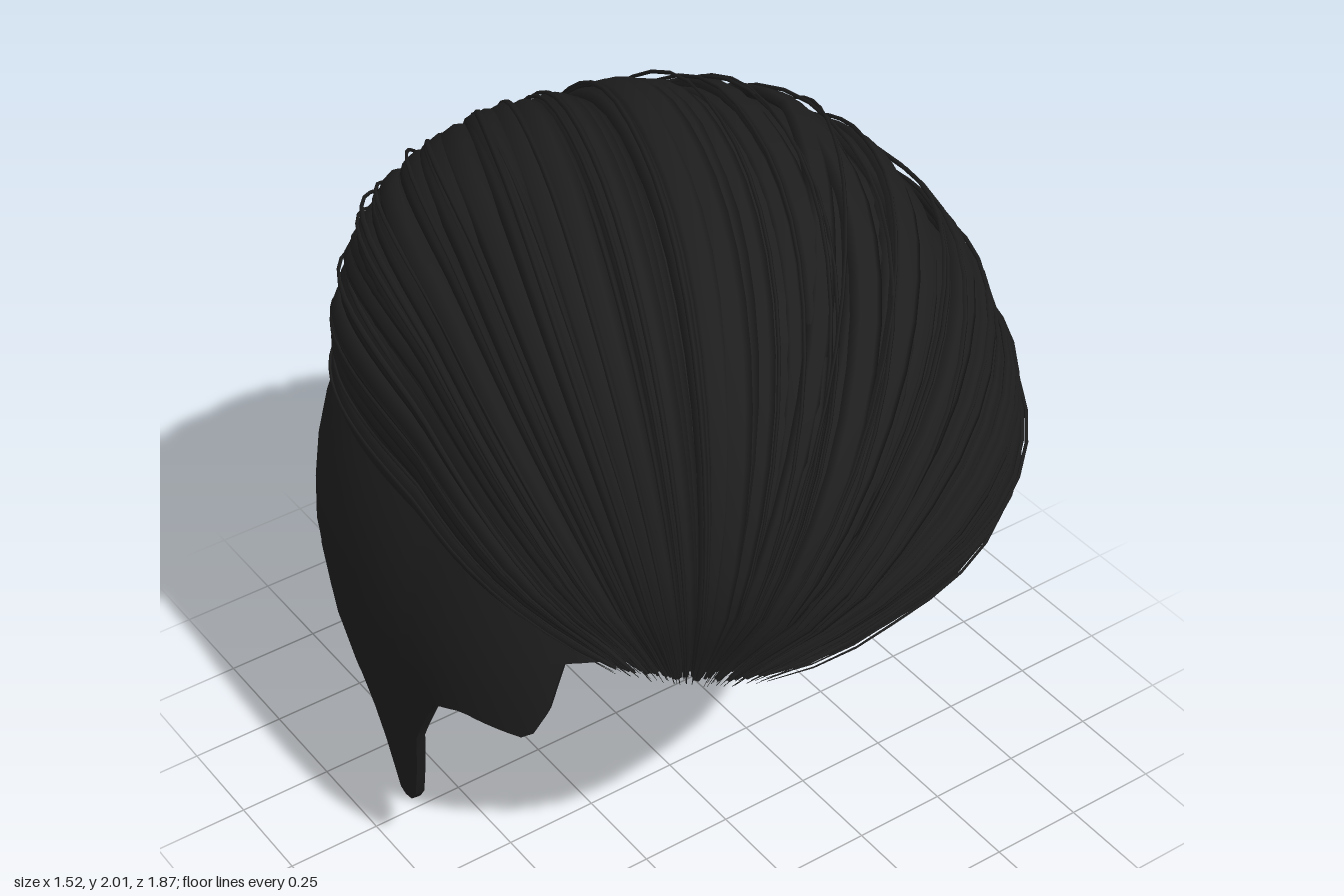
import * as THREE from 'three';
import { mergeGeometries, mergeVertices } from 'three/addons/utils/BufferGeometryUtils.js';

const { sin, cos, abs, pow, max, min, PI } = Math;
const { lerp, clamp, smoothstep } = THREE.MathUtils;
const V = (x, y, z) => new THREE.Vector3(x, y, z);

// small seeded random, 0..1
let seed = 7;
const rand = () => (seed = (seed * 16807) % 2147483647) / 2147483647;

// piecewise linear lookup in [[key, value], ...]
function lookup(table, k) {
  for (let i = 1; i < table.length; i++) {
    const [k0, v0] = table[i - 1], [k1, v1] = table[i];
    if (k <= k1) return lerp(v0, v1, max(0, (k - k0) / (k1 - k0)));
  }
  return table[table.length - 1][1];
}

// surface from a rule: point(u, v) with u, v in 0..1
function surface(nu, nv, point) {
  const pos = [], index = [];
  for (let i = 0; i <= nu; i++)
    for (let j = 0; j <= nv; j++) pos.push(...point(i / nu, j / nv).toArray());
  for (let i = 0; i < nu; i++)
    for (let j = 0; j < nv; j++) {
      const a = i * (nv + 1) + j, b = a + nv + 1;
      index.push(a, b, a + 1, b, b + 1, a + 1);
    }
  const g = new THREE.BufferGeometry();
  g.setAttribute('position', new THREE.Float32BufferAttribute(pos, 3));
  g.setIndex(index);
  const welded = mergeVertices(g, 1e-5);
  welded.computeVertexNormals();
  return welded;
}

// ---- scalp shell ----
// lower edge height by angle from the front (degrees): hairline, temple, sideburn, ear, nape
const EDGE = [[0, 1.06], [30, 1.06], [41, 1.05], [53, 1.0], [55.5, 0.83], [59, 0.77], [74, 0.74],
  [82, 0.69], [90, 0.5], [94, 0.27], [98, 0.2], [104, 0.2], [110, 0.4], [115, 0.46], [122, 0.45],
  [126, 0.42], [130, 0.32], [136, 0.16], [144, 0.08], [154, 0.03], [180, 0]];
// narrowing of the back of the head towards the neck, by height
const TAPER = [[0, 0.4], [0.2, 0.25], [0.4, 0.12], [0.55, 0.04], [0.75, 0]];

function scalpPoint(u, v, inset) {
  const a = (u * 2 - 1) * PI, dx = sin(a), dz = cos(a);
  const edge = lookup(EDGE, abs(a) * 180 / PI);
  const y = edge + (1.6 - inset - edge) * sin(v * PI / 2);
  const n = dz < 0 ? 2.6 : 2.3;
  const r = pow(pow(abs(dx) / 0.745, n) + pow(abs(dz) / (dz < 0 ? 0.935 : 0.82), n), -1 / n) - inset;
  const back = max(0, -dz), p = 2 + back * 0.5;
  const s = y > 0.7
    ? pow(max(0, 1 - pow((y - 0.7) / (0.9 - inset), p)), 1 / p)
    : 1 - lookup(TAPER, y) * max(back, 0.2);
  return V(-0.02 + dx * r * s, y, dz * r * s);
}

// ---- swept hair ----
const CENTRE = V(0.02, 1.1, 0);
// gathering points at the back: left, middle, right
const TIPS = [V(0.62, 1.15, -0.65), V(0.1, 0.99, -0.92), V(-0.22, 1.07, -0.86)];

// push a direction out to the rounded outline of the hair
function onVolume(d, scale) {
  d.normalize();
  const up = max(0, d.y), side = d.x * d.x / (d.x * d.x + d.z * d.z + 1e-6);
  const n = 2.3 + side * up;                                  // squarer shoulders
  const fall = d.z < 0 ? 1 - 0.28 * d.z * d.z : 1;            // lower towards the back
  const height = 0.89 * fall * (1 - (d.x > 0 ? 0.22 : 0.1) * d.x); // higher on the right
  const tuck = 1 - 0.07 * max(0, d.z) * (1 - smoothstep(d.y, 0, 0.22)); // curl under the fringe
  const corner = 1 - (d.x > 0 ? 0.06 : 0.14) * d.x * max(0, d.z);       // fuller front right
  const q = pow(abs(d.x) / 0.735, n) + pow(abs(d.y) / height, n) + pow(abs(d.z) / 0.935, n);
  return d.multiplyScalar(scale * tuck * corner * pow(q, -1 / n)).add(CENTRE);
}

// k runs from the low left side (0) over the top to the right side (1), s from front to back
function hairPoint(k, s, tip, scale) {
  const phi = lerp(0.05, PI - 0.2, k);
  const front = V(lerp(-0.33, -0.62, k), 1.075, lerp(0.85, 0.64, k)).sub(CENTRE).normalize();
  const back = tip.clone().sub(CENTRE).normalize();
  const mid = V(0.93 * cos(phi), sin(phi), 0.35 * cos(phi));
  const c = pow(cos(s * PI / 2), 2);
  const d = front.multiplyScalar(c).addScaledVector(back, 1 - c).addScaledVector(mid, sin(PI * s));
  return onVolume(d, scale);
}

function smoothTip(k) {
  return k < 0.5 ? TIPS[0].clone().lerp(TIPS[1], k * 2) : TIPS[1].clone().lerp(TIPS[2], k * 2 - 1);
}

// flattened, tapering lock following the sweep
function lock(k, tip, scale, width, depth, sides, segments) {
  const at = s => hairPoint(k, s, tip, scale);
  return surface(segments, sides, (s, v) => {
    const p = at(s), out = p.clone().sub(CENTRE).normalize();
    const along = at(min(1, s + 0.01)).sub(at(max(0, s - 0.01))).normalize();
    const across = along.cross(out).normalize();
    const w = 0.1 + 0.9 * pow(max(0, sin(PI * s)), 0.7), a = (v % 1) * 2 * PI;
    return p.addScaledVector(across, cos(a) * width * w).addScaledVector(out, sin(a) * depth * w);
  });
}

function makeLocks(count, loose) {
  const parts = [];
  for (let i = 0; i < count; i++) {
    const k = clamp((i + 0.5) / count + (rand() - 0.5) * 0.03, 0, 1);
    // neighbouring sweeps overlap, so the gathering point is mixed between them
    const pick = k + (rand() - 0.5) * 0.22;
    const nearest = TIPS[pick < 0.34 ? 0 : pick < 0.8 ? 1 : 2];
    const tip = smoothTip(k).lerp(nearest, 0.55 + rand() * 0.45)
      .add(V((rand() - 0.5) * 0.06, (rand() - 0.5) * 0.05, 0));
    parts.push(loose
      ? lock(k, tip, 0.98 + rand() * 0.025, 0.005 + rand() * 0.004, 0.005, 4, 26)
      : lock(k, tip, 0.945 + rand() * 0.04, 0.026 + rand() * 0.022, 0.016, 6, 26));
  }
  return mergeGeometries(parts);
}

export function createModel() {
  seed = 7;
  const group = new THREE.Group();
  const material = new THREE.MeshStandardMaterial({ color: 0x1e1e1e, side: THREE.DoubleSide });
  const add = (name, geometry) => {
    const mesh = new THREE.Mesh(geometry, material);
    mesh.name = name;
    group.add(mesh);
  };

  // outer skin, inner skin and the rim joining them
  add('scalp', surface(144, 16, (u, v) => scalpPoint(u, v, 0)));
  add('scalpLining', surface(144, 16, (u, v) => scalpPoint(u, v, 0.025)));
  add('scalpRim', surface(144, 1, (u, v) => scalpPoint(u, 0, 0.025 * (1 - v))));

  // solid sheet under the locks, with its two borders tucked in against the scalp
  add('hairBase', surface(40, 32, (u, s) => {
    const k = clamp((u * 40 - 1) / 38, 0, 1);
    return hairPoint(k, s, smoothTip(k), u === 0 || u === 1 ? 0.84 : 0.95);
  }));

  add('hairLocks', makeLocks(90, false));
  add('looseStrands', makeLocks(60, true));

  // short pointed ends sticking out at the back left
  [[V(0.6, 1.18, -0.5), V(0.62, 1.14, -0.7)], [V(0.36, 1.48, -0.56), V(0.4, 1.49, -0.8)]].forEach(([from, to]) => {
    const dir = to.clone().sub(from);
    const cone = new THREE.ConeGeometry(0.035, dir.length(), 6);
    cone.applyQuaternion(new THREE.Quaternion().setFromUnitVectors(V(0, 1, 0), dir.clone().normalize()));
    const mid = from.clone().add(to).multiplyScalar(0.5);
    add('hairTip', cone.translate(mid.x, mid.y, mid.z));
  });

  return group;
}
